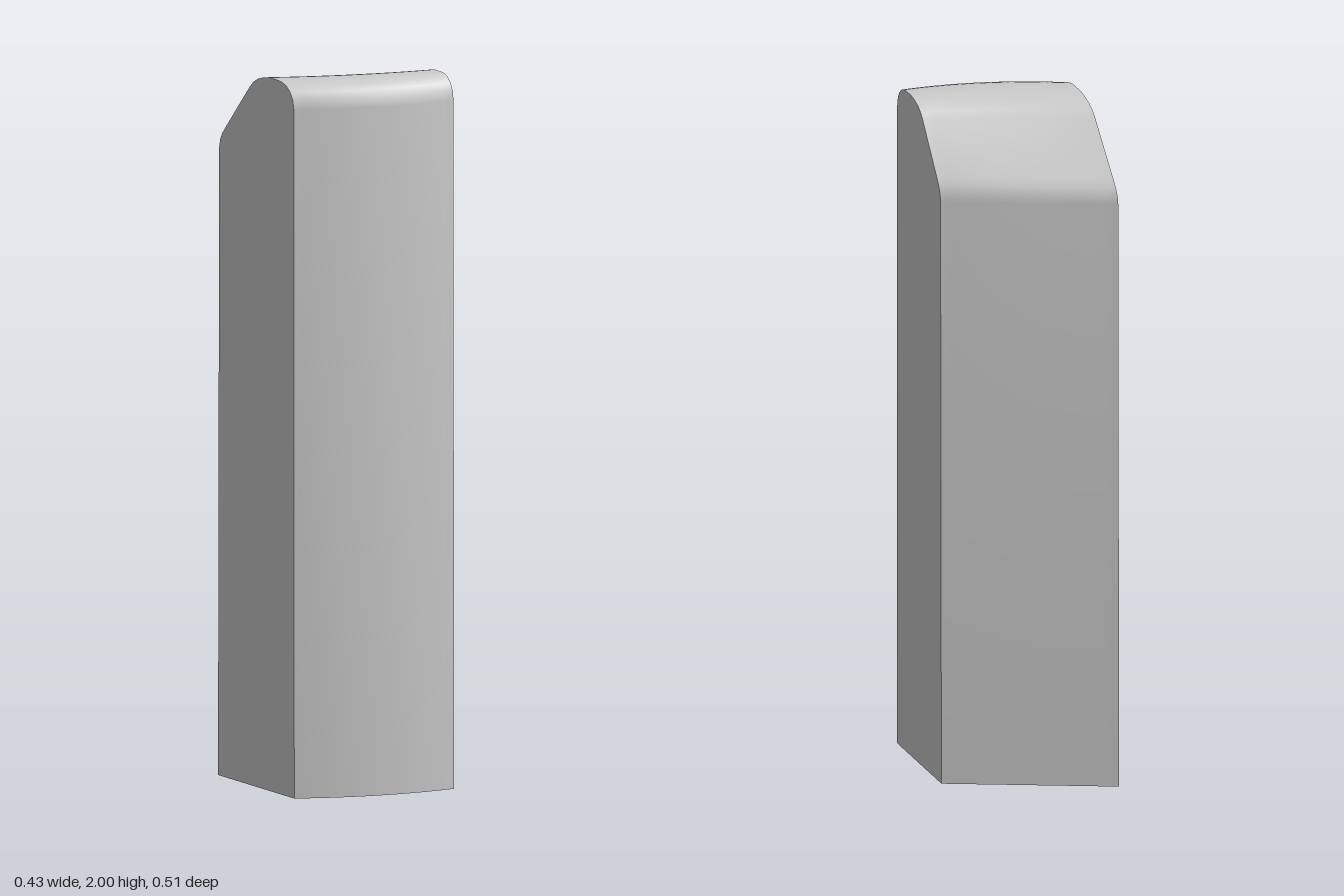
import * as THREE from 'three';
import { toCreasedNormals } from 'three/addons/utils/BufferGeometryUtils.js';

const HALF_WIDTH = 0.217;

// Side profile: depth fraction (0 = back, 1 = front) and height
const PROFILE = [
  [0, 0], [1, 0], [1, 1.93], [0.985, 1.957], [0.95, 1.977], [0.9, 1.991], [0.84, 1.998], [0.77, 2],
  [0.67, 2], [0.6, 1.996], [0.52, 1.987], [0.46, 1.975], [0.41, 1.958],
  [0.09, 1.825], [0.04, 1.803], [0.012, 1.783], [0, 1.76],
];

// Straight slanted back and gently bowed front, with a slight taper upwards
const backZ = (x, y) => -0.146 + 0.5115 * x + 0.003 * y;
const frontZ = (x, y) => 0.213 + 0.3226 * x - 0.028 * (x / HALF_WIDTH) ** 2 - 0.001 * y;

export function createModel() {
  const group = new THREE.Group();
  group.name = 'slantedBlock';

  // Extrude the profile across the width, then fit it between back and front
  const shape = new THREE.Shape(PROFILE.map(([t, y]) => new THREE.Vector2(t, y)));
  const geometry = new THREE.ExtrudeGeometry(shape, {
    depth: 2 * HALF_WIDTH, steps: 16, bevelEnabled: false,
  });
  geometry.rotateY(-Math.PI / 2).translate(HALF_WIDTH, 0, 0);

  const pos = geometry.attributes.position;
  for (let i = 0; i < pos.count; i++) {
    const x = pos.getX(i), y = pos.getY(i);
    pos.setZ(i, THREE.MathUtils.lerp(backZ(x, y), frontZ(x, y), pos.getZ(i)));
  }

  const block = new THREE.Mesh(
    toCreasedNormals(geometry, 0.7),
    new THREE.MeshStandardMaterial({ color: 0xcccccc }),
  );
  block.name = 'block';
  group.add(block);
  return group;
}
